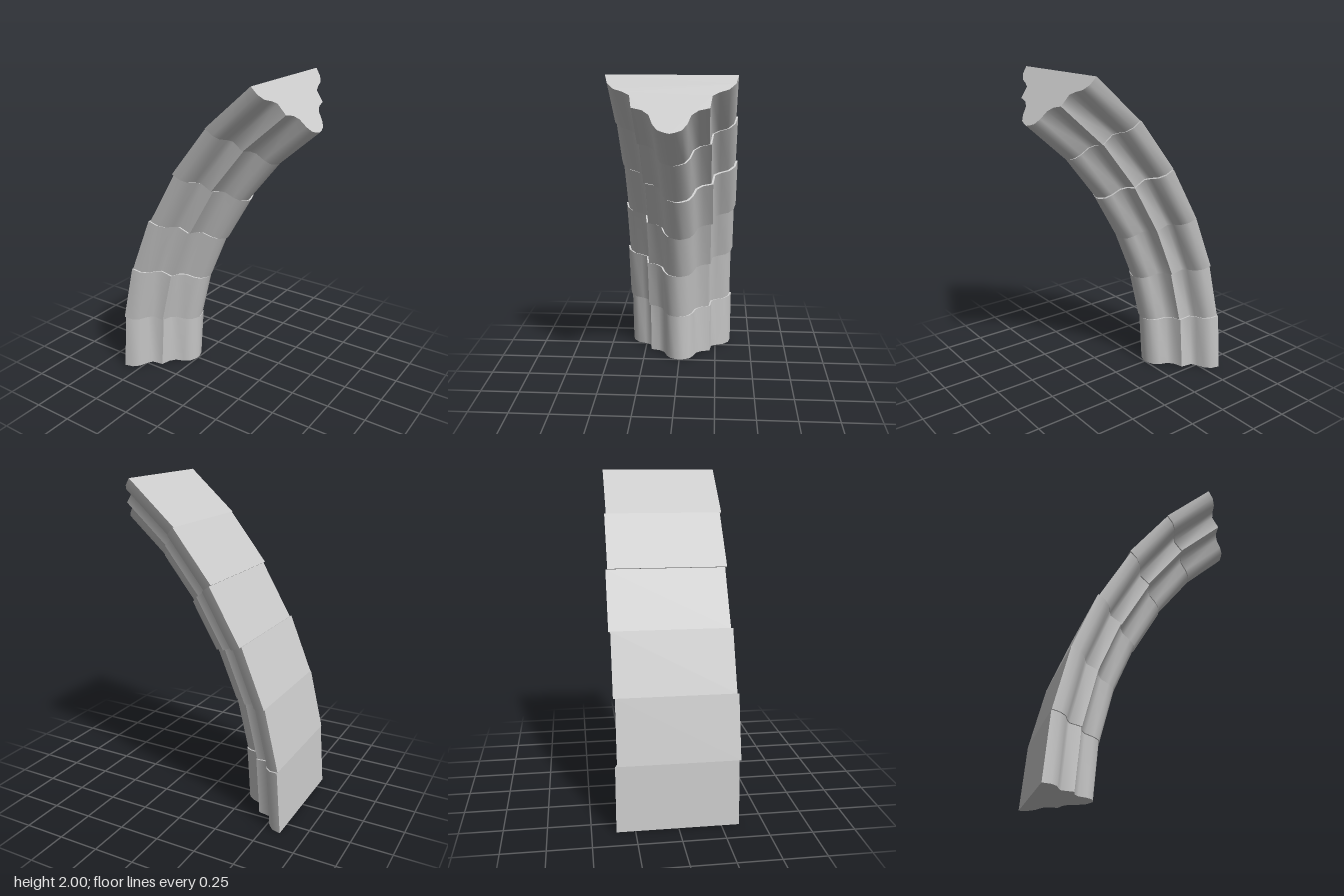
import * as THREE from 'three';
import { toCreasedNormals } from 'three/addons/utils/BufferGeometryUtils.js';

// Joints between the stones: [outer x, outer y, inner x, inner y]
const JOINTS = [
  [-0.605, 0, -0.25, 0],
  [-0.575, 0.387, -0.225, 0.335],
  [-0.485, 0.76, -0.146, 0.655],
  [-0.34, 1.113, -0.018, 0.958],
  [-0.147, 1.443, 0.147, 1.24],
  [0.095, 1.745, 0.355, 1.5],
  [0.385, 2, 0.605, 1.72],
];

// Small misalignments of each stone: sideways (z) and inward
const SIDEWAYS = [-0.002, 0.009, -0.002, -0.013, -0.002, 0.008];
const INWARD = [0, 0, 0, 0.007, 0, 0];

// Half of the moulding: [half width, fraction of depth from back to nose]
const MOULDING = [
  [0.357, 0], [0.343, 0.15], [0.308, 0.25], [0.258, 0.3], [0.22, 0.36],
  [0.208, 0.57], [0.15, 0.61], [0.112, 0.69], [0.092, 0.84], [0.065, 0.94], [0.03, 0.98],
];

function mouldingShape() {
  const right = MOULDING.map(([w, t]) => new THREE.Vector2(w, t));
  const left = MOULDING.map(([w, t]) => new THREE.Vector2(-w, t)).reverse();
  return new THREE.Shape([...right, new THREE.Vector2(0, 1), ...left]);
}

// Extrude the moulding, then fit it between two joints of the arch
function stoneGeometry(a, b, sideways, inward) {
  const geometry = new THREE.ExtrudeGeometry(mouldingShape(), { depth: 1, bevelEnabled: false });
  const p = geometry.attributes.position;
  const lerp = THREE.MathUtils.lerp;
  const dir = new THREE.Vector2(a[2] - a[0] + b[2] - b[0], a[3] - a[1] + b[3] - b[1]).setLength(inward);
  for (let i = 0; i < p.count; i++) {
    const w = p.getX(i), t = p.getY(i), s = p.getZ(i);
    const x = lerp(lerp(a[0], a[2], t), lerp(b[0], b[2], t), s);
    const y = lerp(lerp(a[1], a[3], t), lerp(b[1], b[3], t), s);
    p.setXYZ(i, x + dir.x, y + dir.y, w + sideways);
  }
  geometry.deleteAttribute('uv');
  return toCreasedNormals(geometry, 1.0);
}

export function createModel() {
  const group = new THREE.Group();
  group.name = 'archRib';
  const material = new THREE.MeshStandardMaterial({ color: 0xcccccc });

  // Six moulded stones stacked along the curve
  for (let i = 0; i < 6; i++) {
    const stone = new THREE.Mesh(stoneGeometry(JOINTS[i], JOINTS[i + 1], SIDEWAYS[i], INWARD[i]), material);
    stone.name = `ribStone${i + 1}`;
    group.add(stone);
  }
  return group;
}
